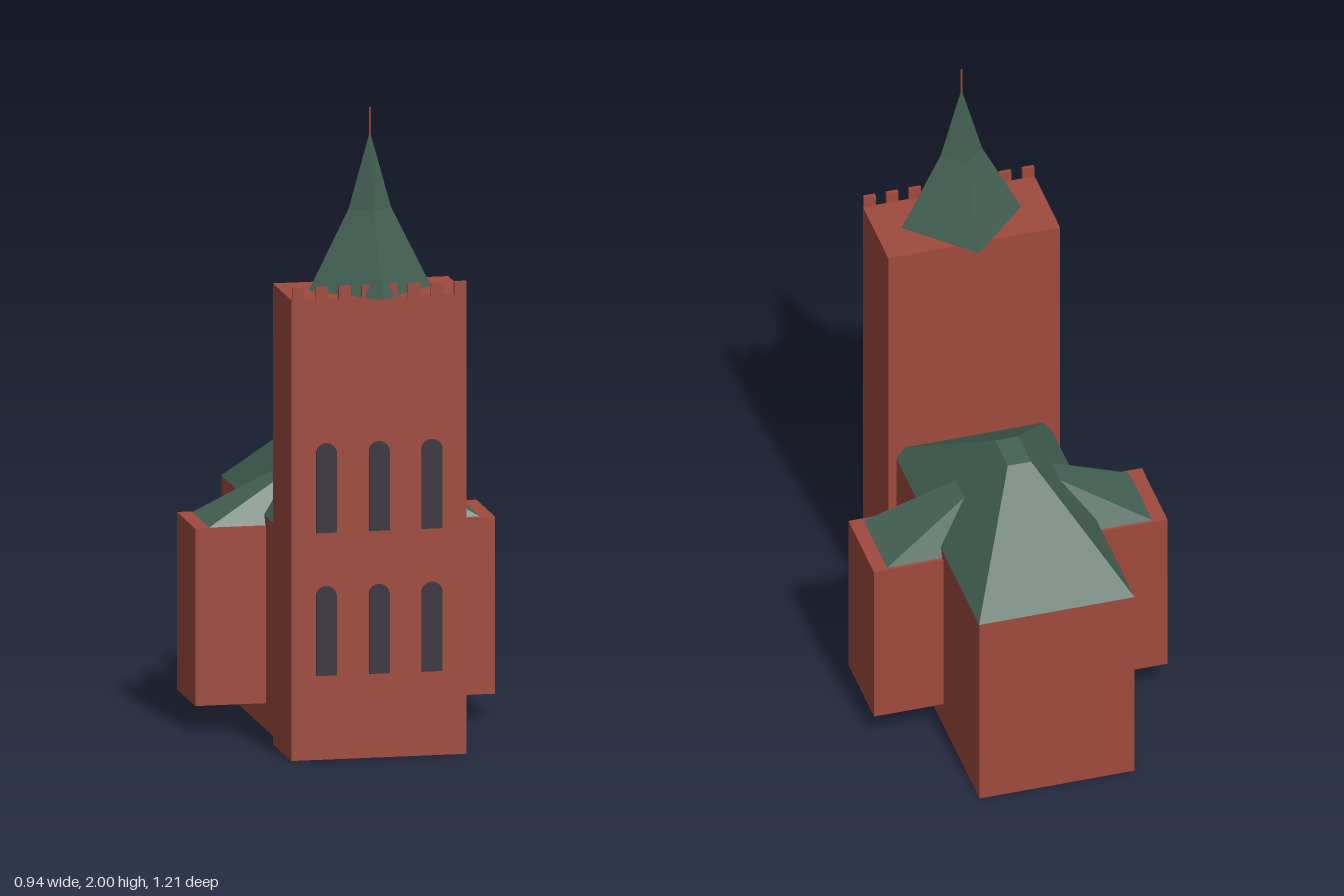
import * as THREE from 'three';

const brick = new THREE.MeshStandardMaterial({ color: 0xa04a3e });
brick.name = 'brick red';
const copper = new THREE.MeshStandardMaterial({ color: 0x456255 });
copper.name = 'roof green';
const glass = new THREE.MeshStandardMaterial({ color: 0x3a353f });
glass.name = 'window dark';

export function createModel() {
  const model = new THREE.Group();
  model.name = 'church';

  function add(name, geometry, material, x = 0, y = 0, z = 0) {
    const mesh = new THREE.Mesh(geometry, material);
    mesh.name = name;
    mesh.position.set(x, y, z);
    model.add(mesh);
    return mesh;
  }

  // Box given by its limits on each axis
  function block(name, material, x0, x1, y0, y1, z0, z1) {
    return add(name, new THREE.BoxGeometry(x1 - x0, y1 - y0, z1 - z0), material,
      (x0 + x1) / 2, (y0 + y1) / 2, (z0 + z1) / 2);
  }

  // Hipped roof: a box whose top is drawn in to a smaller rectangle
  function hipRoof(name, halfX, halfZ, topX, topZ, y0, y1, z) {
    const h = y1 - y0;
    const g = new THREE.BoxGeometry(halfX * 2, h, halfZ * 2);
    const p = g.attributes.position;
    for (let i = 0; i < p.count; i++) {
      if (p.getY(i) > 0) {
        p.setX(i, Math.sign(p.getX(i)) * topX);
        p.setZ(i, Math.sign(p.getZ(i)) * topZ);
      }
    }
    g.computeVertexNormals();
    return add(name, g, copper, 0, y0 + h / 2, z);
  }

  // Four-sided spire section with faceted normals
  function spireSection(name, rTop, rBottom, y0, y1, open) {
    const g = new THREE.CylinderGeometry(rTop, rBottom, y1 - y0, 4, 1, open).toNonIndexed();
    g.computeVertexNormals();
    return add(name, g, copper, 0, (y0 + y1) / 2, 0.413);
  }

  // Walls
  block('tower', brick, -0.274, 0.274, 0, 1.436, 0.277, 0.548);
  block('nave', brick, -0.247, 0.247, 0, 0.665, -0.606, 0.277);
  block('transept', brick, -0.468, 0.468, 0.083, 0.635, -0.221, 0.052);

  // Roofs
  hipRoof('naveRoof', 0.248, 0.467, 0.037, 0.067, 0.665, 0.94, -0.139);
  hipRoof('transeptRoof', 0.423, 0.125, 0.143, 0.043, 0.635, 0.795, -0.085);

  // Spire with its flared foot and finial
  spireSection('spireFoot', 0.066, 0.191, 1.436, 1.687, false);
  spireSection('spireTop', 0, 0.066, 1.687, 1.925, true);
  add('finial', new THREE.CylinderGeometry(0.003, 0.003, 0.09, 8), brick, 0, 1.955, 0.413);

  // Battlements along the front edge
  for (let i = 0; i < 8; i++) {
    const x = (i - 3.5) * 0.0722;
    block('merlon', brick, x - 0.019, x + 0.019, 1.43, 1.474, 0.545, 0.556);
  }

  // Round-headed windows in two rows
  const w = 0.032, straight = 0.246;
  const arch = new THREE.Shape();
  arch.moveTo(-w, 0);
  arch.lineTo(w, 0);
  arch.lineTo(w, straight);
  arch.absarc(0, straight, w, 0, Math.PI, false);
  arch.closePath();
  const windowGeometry = new THREE.ExtrudeGeometry(arch, { depth: 0.009, bevelEnabled: false, curveSegments: 8 });
  for (const y of [0.263, 0.708]) {
    for (const x of [-0.165, 0, 0.165]) add('window', windowGeometry, glass, x, y, 0.548);
  }

  return model;
}
